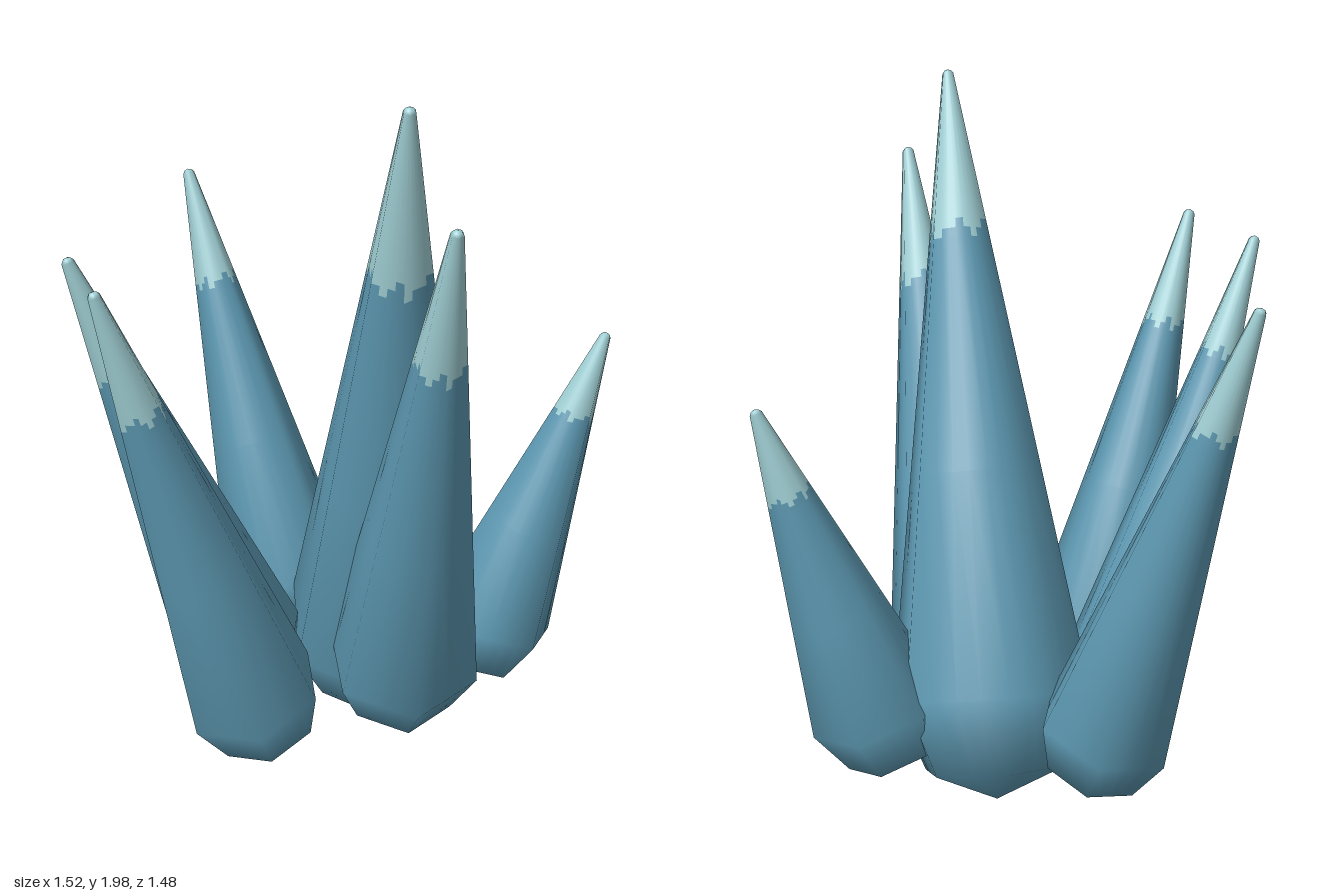
import * as THREE from 'three';

const COLUMNS = 24;
const JAG_LOW = 0.725, JAG_MID = 0.74, JAG_HIGH = 0.755;

// One spike: six-sided rounded root that tapers to a small blunt tip.
// Built along +y, with a hexagon corner pointing to +z.
function spikeGeometry(r, length) {
  const tipR = 0.017;
  const at = t => new THREE.Vector2(THREE.MathUtils.lerp(r, tipR, t), length * t - 0.012 * t);
  const profile = [new THREE.Vector2(0, -r), new THREE.Vector2(r * 0.707, -r * 0.707)];
  const rows = [0, 0.35, JAG_LOW, JAG_MID, JAG_HIGH, 1];
  rows.forEach(t => profile.push(at(t)));
  profile.push(new THREE.Vector2(0.011, length - 0.004), new THREE.Vector2(0, length));

  const geo = new THREE.LatheGeometry(profile, COLUMNS);
  // Flatten the round section into a hexagon, keeping the smooth normals
  const pos = geo.attributes.position;
  const step = Math.PI / 3;
  for (let i = 0; i < pos.count; i++) {
    const column = Math.floor(i / profile.length);
    const phi = (column / COLUMNS) * Math.PI * 2;
    const k = Math.cos(step / 2) / Math.cos((phi % step) - step / 2);
    pos.setX(i, pos.getX(i) * k);
    pos.setZ(i, pos.getZ(i) * k);
  }

  // Sort faces into body and tip, with an uneven border between them
  const source = geo.index.array, body = [], tip = [];
  const quads = profile.length - 1;
  for (let c = 0; c < COLUMNS; c++) {
    const border = 4 + [0, 1, 1, 2, 1, 0, 1, 2][c % 8];
    for (let q = 0; q < quads; q++) {
      const start = (c * quads + q) * 6;
      (q < border ? body : tip).push(...source.slice(start, start + 6));
    }
  }
  geo.setIndex([...body, ...tip]);
  geo.clearGroups();
  geo.addGroup(0, body.length, 0);
  geo.addGroup(body.length, tip.length, 1);
  return geo;
}

export function createModel() {
  const group = new THREE.Group();
  group.name = 'spikeCluster';
  const bodyMat = new THREE.MeshStandardMaterial({ color: 0x5c97b0 });
  bodyMat.name = 'deep blue';
  const tipMat = new THREE.MeshStandardMaterial({ color: 0xa0cfd4 });
  tipMat.name = 'pale ice';

  // Name, centre of the widest ring, tip, radius
  const spikes = [
    ['centreSpike', [0.11, 0.30, -0.06], [0.055, 2.0, 0.545], 0.30],
    ['frontSpike', [0.125, 0.32, 0.19], [0.135, 1.76, 0.725], 0.222],
    ['leftSpike', [0.435, 0.29, -0.05], [0.745, 1.18, -0.05], 0.194],
    ['backSpike', [-0.13, 0.30, -0.38], [-0.38, 1.515, -0.73], 0.196],
    ['rightSpike', [-0.32, 0.30, 0.015], [-0.75, 1.54, 0.128], 0.188],
    ['frontRightSpike', [-0.315, 0.30, 0.285], [-0.69, 1.57, 0.48], 0.196],
  ];

  for (const [name, base, tip, r] of spikes) {
    const from = new THREE.Vector3(...base);
    const axis = new THREE.Vector3(...tip).sub(from);
    const length = axis.length();
    axis.normalize();
    // Turn one hexagon corner toward the lean of the spike
    const lean = new THREE.Vector3(axis.x, 0, axis.z);
    lean.addScaledVector(axis, -lean.dot(axis)).normalize();
    const side = new THREE.Vector3().crossVectors(axis, lean);

    const mesh = new THREE.Mesh(spikeGeometry(r, length), [bodyMat, tipMat]);
    mesh.name = name;
    mesh.position.copy(from);
    mesh.quaternion.setFromRotationMatrix(new THREE.Matrix4().makeBasis(side, axis, lean));
    group.add(mesh);
  }
  return group;
}
